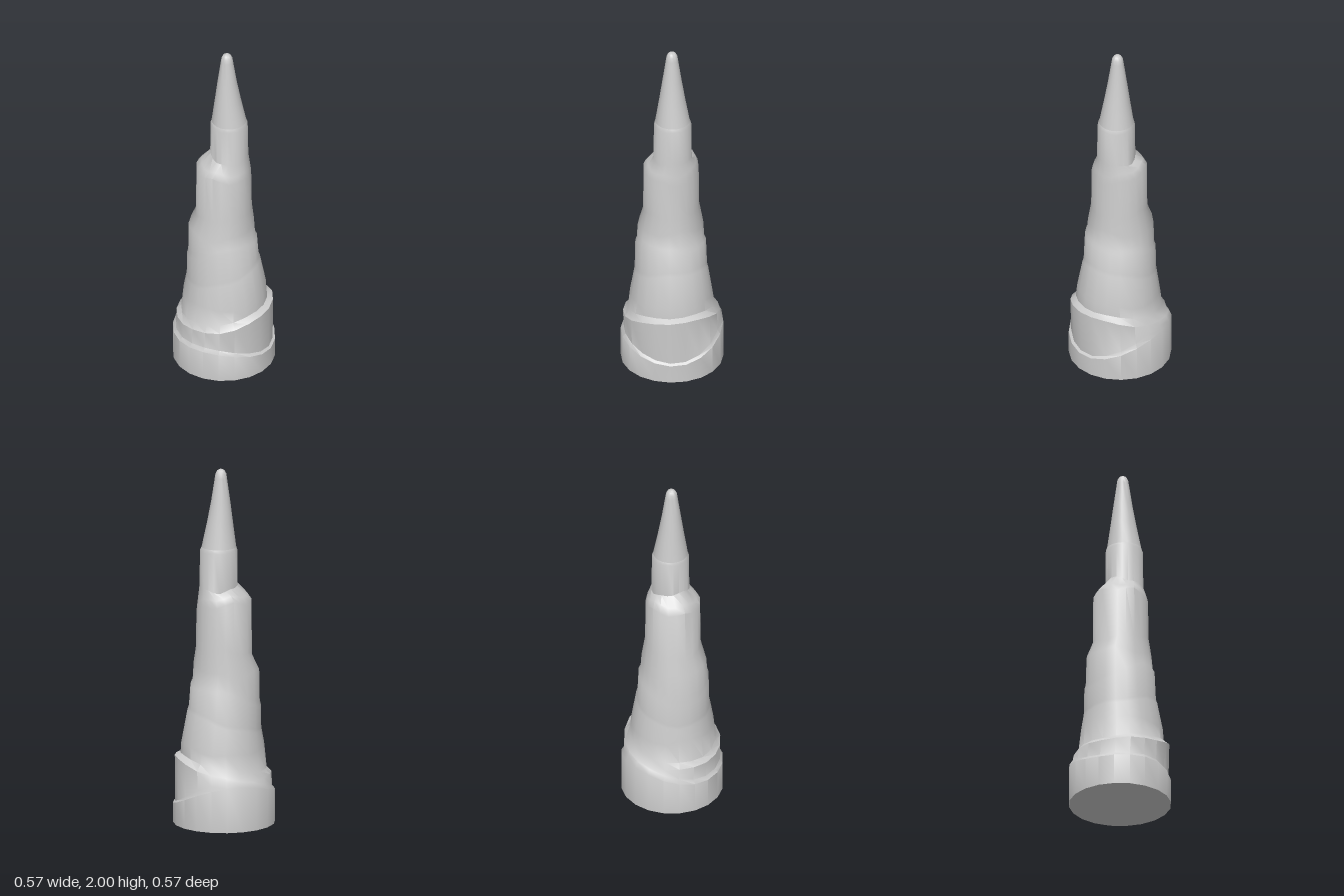
import * as THREE from 'three';
import { toCreasedNormals } from 'three/addons/utils/BufferGeometryUtils.js';

const SIDES = 20;

// Each ring: centre x, radius, height at right (+x), front (+z), left (-x), back (-z), jaggedness
const ring = (cx, r, yR, yF = yR, yL = yR, yB = yR, jag = 0) => ({ cx, r, yR, yF, yL, yB, jag });

const bodyRings = [
  ring(0, 0, 0),
  ring(0, 0.283, 0),
  // lower ledges
  ring(0, 0.283, 0.11, 0.17, 0.18, 0.25),
  ring(0.002, 0.268, 0.12, 0.19, 0.2, 0.28),
  ring(0.005, 0.267, 0.38, 0.31, 0.28, 0.3, 0.004),
  ring(0.002, 0.238, 0.395, 0.345, 0.305, 0.345, 0.004),
  // tilted folds
  ring(0.007, 0.229, 0.46, 0.43, 0.44, 0.42, 0.008),
  ring(-0.003, 0.205, 0.64, 0.57, 0.52, 0.57, 0.006),
  ring(-0.006, 0.2, 0.66, 0.59, 0.54, 0.59, 0.006),
  ring(-0.01, 0.195, 0.78, 0.775, 0.66, 0.75, 0.004),
  ring(-0.012, 0.186, 0.795, 0.795, 0.69, 0.77, 0.004),
  ring(-0.014, 0.181, 0.9, 0.86, 0.87, 0.86, 0.012),
  ring(0, 0.155, 0.99, 0.98, 0.95, 1.0, 0.012),
  // jagged upper shoulder
  ring(0, 0.152, 1.21, 1.24, 1.25, 1.26, 0.012),
  ring(0.01, 0.136, 1.26, 1.275, 1.29, 1.295, 0.01),
  ring(0.03, 0.106, 1.34, 1.32, 1.35, 1.32, 0.006),
  // narrow neck
  ring(0.029, 0.103, 1.54, 1.54, 1.545, 1.54, 0.004),
  ring(0.028, 0.096, 1.56),
];

const tipRings = [
  ring(0.028, 0.096, 1.56),
  ring(0.022, 0.072, 1.7),
  ring(0.018, 0.053, 1.82),
  ring(0.017, 0.034, 1.95),
  ring(0.017, 0.03, 1.975),
  ring(0.017, 0.021, 1.992),
  ring(0.017, 0.01, 1.999),
  ring(0.017, 0, 2),
];

// Tilted, slightly wavy cross-section point
function ringPoint(k, j) {
  const a = (j / SIDES) * Math.PI * 2;
  const y = (k.yR + k.yF + k.yL + k.yB) / 4
    + ((k.yR - k.yL) / 2) * Math.cos(a)
    + ((k.yF - k.yB) / 2) * Math.sin(a)
    + ((k.yR + k.yL - k.yF - k.yB) / 4) * Math.cos(2 * a)
    + k.jag * Math.sin(5 * a + 9 * k.yR);
  const cz = k.yR > 0.3 ? 0.005 : 0;
  return [k.cx + k.r * Math.cos(a), y, cz + k.r * Math.sin(a)];
}

// Skin consecutive rings; zero-radius rings close the ends
function skin(rings, name) {
  const positions = [];
  const indices = [];
  rings.forEach((k, i) => {
    for (let j = 0; j < SIDES; j++) {
      positions.push(...ringPoint(k, j));
      if (i === rings.length - 1) continue;
      const a = i * SIDES + j;
      const c = i * SIDES + ((j + 1) % SIDES);
      if (rings[i + 1].r > 0) indices.push(a, a + SIDES, c + SIDES);
      else indices.push(a, a + SIDES, c);
      if (k.r > 0 && rings[i + 1].r > 0) indices.push(a, c + SIDES, c);
    }
  });
  const geometry = new THREE.BufferGeometry();
  geometry.setAttribute('position', new THREE.Float32BufferAttribute(positions, 3));
  geometry.setIndex(indices);
  const mesh = new THREE.Mesh(
    toCreasedNormals(geometry, THREE.MathUtils.degToRad(40)),
    new THREE.MeshStandardMaterial({ color: 0xcccccc })
  );
  mesh.name = name;
  return mesh;
}

export function createModel() {
  const group = new THREE.Group();
  group.name = 'rockSpire';
  group.add(skin(bodyRings, 'steppedBody'), skin(tipRings, 'taperedTip'));
  return group;
}
